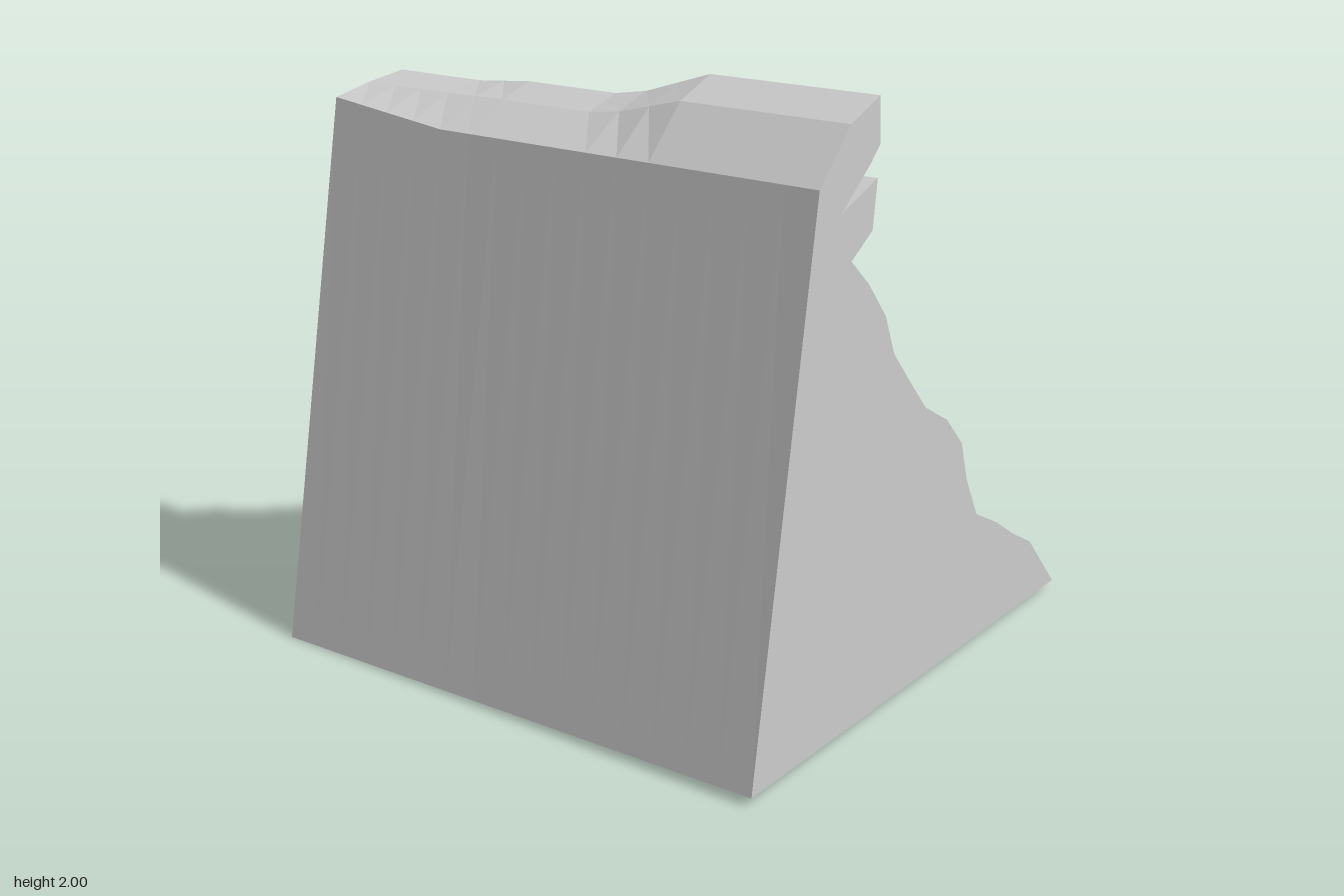
import * as THREE from 'three';

const STATIONS = 16; // equal steps from the front end (0) to the rear end (16)
const LENGTH = 1.91;

// Slope outline from the toe steps up to the overhang
const SLOPE = [
  [0.87, 0.14], [0.77, 0.25], [0.63, 0.33], [0.51, 0.41], [0.36, 0.49], [0.28, 0.64], [0.235, 0.78],
  [0.13, 0.89], [-0.01, 0.97], [-0.11, 1.08], [-0.215, 1.2], [-0.27, 1.33], [-0.37, 1.45], [-0.47, 1.54],
];

// Local ledges: a slope point shifted by (dx, dy) between two stations
const LEDGES = [
  { point: 0, from: 7, to: 16, dx: -0.04, dy: 0 },
  { point: 1, from: 3, to: 16, dx: -0.04, dy: -0.025 },
  { point: 3, from: 8, to: 11, dx: 0.02, dy: 0.03 },
  { point: 6, from: 11, to: 16, dx: 0.01, dy: 0.01 },
  { point: 7, from: 5, to: 10, dx: 0.01, dy: 0.02 },
  { point: 8, from: 6, to: 8, dx: 0.05, dy: 0.04 },
  { point: 10, from: 11, to: 13, dx: 0.015, dy: 0.03 },
  { point: 11, from: 9, to: 16, dx: 0.01, dy: 0.01 },
];

// Crown outlines from the overhang, past the notch and lip, to the crest
const NOTCHED_CROWN = [[-0.36, 1.61], [-0.34, 1.76], [-0.53, 1.69], [-0.38, 1.81], [-0.33, 1.86], [-0.34, 2], [-0.49, 1.94]];
const PLAIN_CROWN = [[-0.36, 1.66], [-0.355, 1.78], [-0.37, 1.785], [-0.36, 1.79], [-0.35, 1.8], [-0.35, 1.905], [-0.48, 1.865]];
const REAR_CROWN = [[-0.36, 1.66], [-0.36, 1.76], [-0.365, 1.765], [-0.358, 1.77], [-0.335, 1.85], [-0.325, 1.88], [-0.48, 1.86]];

const ramp = (i, a, b) => THREE.MathUtils.clamp((i - a) / (b - a), 0, 1);
const band = (i, a, b) => ramp(i, a - 1, a) * (1 - ramp(i, b, b + 1));
const mix = (p, q, t) => new THREE.Vector2(p[0] + (q[0] - p[0]) * t, p[1] + (q[1] - p[1]) * t);

// Closed cross-section at a station, counter-clockwise from the rear foot
function section(i) {
  const slope = SLOPE.map(([x, y]) => new THREE.Vector2(x, y));
  for (const { point, from, to, dx, dy } of LEDGES) {
    slope[point].add(new THREE.Vector2(dx, dy).multiplyScalar(band(i, from, to)));
  }
  const crown = PLAIN_CROWN.map((p, k) => (i < 10
    ? mix(NOTCHED_CROWN[k], p, ramp(i, 5, 7.5))
    : mix(p, REAR_CROWN[k], ramp(i, 11, 13))));
  return [
    mix([-0.94, 0.03], [-0.975, 0], i / STATIONS),          // rear foot
    mix([0.97, 0.03], [0.935, 0], ramp(i, 11, 12)),         // toe
    ...slope,
    ...crown,
    mix([-0.645, 1.78], [-0.635, 1.83], ramp(i, 12, 16)),   // rear shoulder
  ];
}

function cliffGeometry() {
  const sections = Array.from({ length: STATIONS + 1 }, (_, i) => section(i));
  const n = sections[0].length;
  const positions = [], index = [];
  sections.forEach((points, i) => {
    const z = LENGTH / 2 - (i * LENGTH) / STATIONS;
    for (const p of points) positions.push(p.x, p.y, z);
  });

  // skin between neighbouring sections: slope, crown, rear wall and underside
  for (let i = 0; i < STATIONS; i++) {
    for (let j = 0; j < n; j++) {
      const a = i * n + j, b = a + n;
      const c = i * n + ((j + 1) % n), d = c + n;
      index.push(a, b, c, b, d, c);
    }
  }

  // flat end faces
  const last = STATIONS * n;
  for (const [a, b, c] of THREE.ShapeUtils.triangulateShape(sections[0], [])) index.push(a, b, c);
  for (const [a, b, c] of THREE.ShapeUtils.triangulateShape(sections[STATIONS], [])) {
    index.push(last + a, last + c, last + b);
  }

  const geometry = new THREE.BufferGeometry();
  geometry.setAttribute('position', new THREE.Float32BufferAttribute(positions, 3));
  geometry.setIndex(index);
  const flat = geometry.toNonIndexed();
  flat.computeVertexNormals();
  return flat;
}

export function createModel() {
  const group = new THREE.Group();
  group.name = 'cliff';
  const rock = new THREE.Mesh(cliffGeometry(),
    new THREE.MeshStandardMaterial({ color: 0xcccccc, flatShading: true }));
  rock.name = 'rockFace';
  group.add(rock);
  return group;
}
